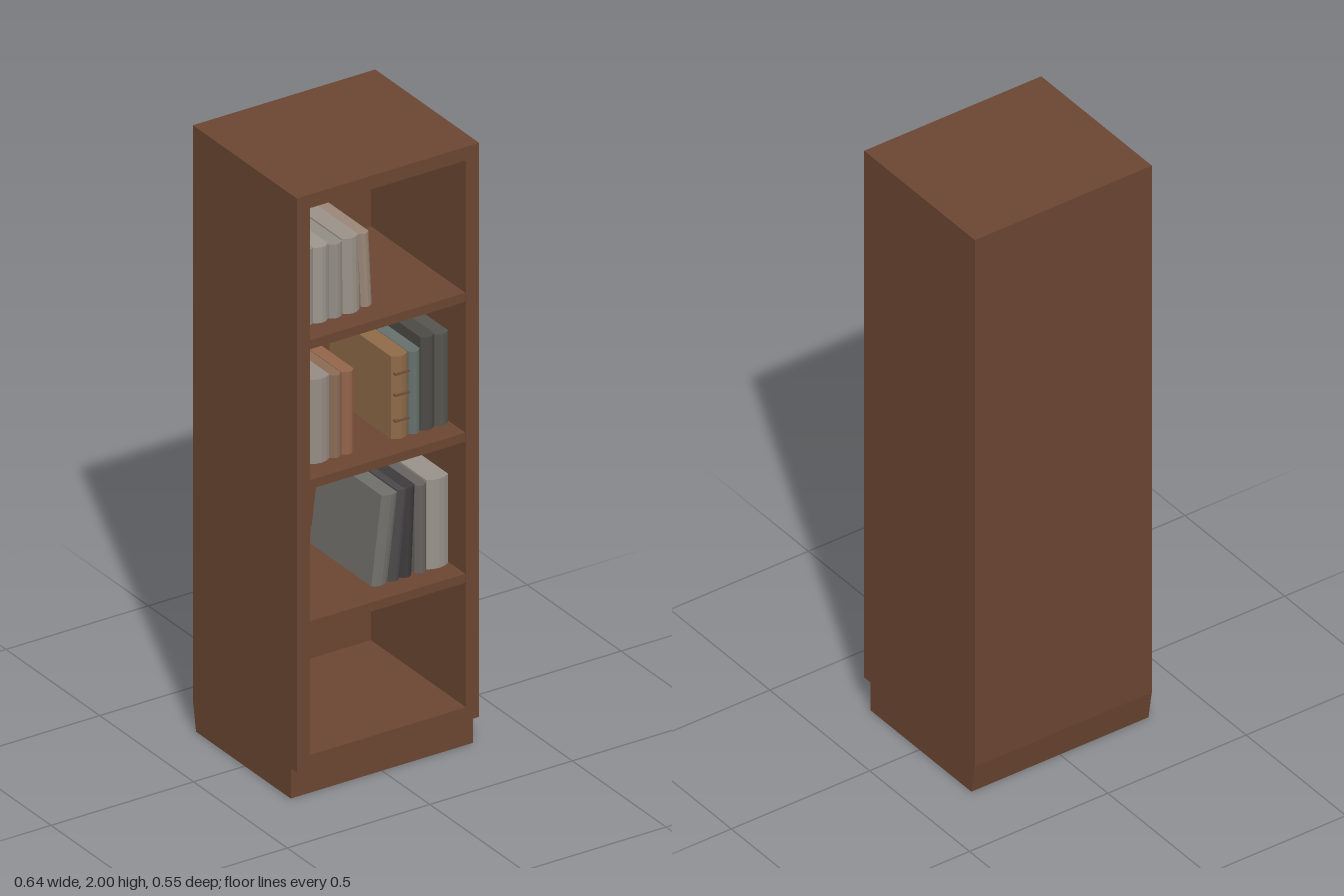
import * as THREE from 'three';

const wood = new THREE.MeshStandardMaterial({ color: 0x6b4632 });
const materials = {};
const cover = (color) => (materials[color] ??= new THREE.MeshStandardMaterial({ color }));

export function createModel() {
  const root = new THREE.Group();

  // board given by its minimum and maximum corners
  function board(name, [x0, y0, z0], [x1, y1, z1]) {
    const geo = new THREE.BoxGeometry(x1 - x0, y1 - y0, z1 - z0);
    geo.translate((x0 + x1) / 2, (y0 + y1) / 2, (z0 + z1) / 2);
    const mesh = new THREE.Mesh(geo, wood);
    mesh.name = name;
    root.add(mesh);
  }

  // carcass
  const W = 0.32, D = 0.277, inner = 0.274, back = -0.23;
  board('leftSide', [inner, 0.1, -D], [W, 2, D]);
  board('rightSide', [-W, 0.1, -D], [-inner, 2, D]);
  board('backPanel', [-inner, 0.1, -D], [inner, 2, back]);
  board('topBoard', [-inner, 1.955, back], [inner, 2, D]);
  board('bottomBoard', [-inner, 0.1, back], [inner, 0.145, D]);
  for (const [y0, y1] of [[0.555, 0.585], [1.022, 1.052], [1.485, 1.515]]) {
    board('shelf', [-inner, y0, back], [inner, y1, D - 0.004]);
  }

  // plinth: recessed at the front, sloping in at the back
  const profile = new THREE.Shape([[-0.26, 0], [0.245, 0], [0.245, 0.1], [-D, 0.1]]
    .map(([z, y]) => new THREE.Vector2(z, y)));
  const plinthGeo = new THREE.ExtrudeGeometry(profile, { depth: 2 * W, bevelEnabled: false });
  plinthGeo.rotateY(-Math.PI / 2).translate(W, 0, 0);
  const plinth = new THREE.Mesh(plinthGeo, wood);
  plinth.name = 'plinth';
  root.add(plinth);

  // book with a gently rounded spine; lean shifts its top sideways
  function book(x0, x1, y0, y1, color, lean = 0, front = 0.2) {
    const w = x1 - x0 - 0.002, depth = 0.34;
    const plan = new THREE.Shape();
    plan.moveTo(0, 0.012);
    plan.quadraticCurveTo(w / 2, -0.012, w, 0.012);
    plan.lineTo(w, depth);
    plan.lineTo(0, depth);
    const geo = new THREE.ExtrudeGeometry(plan, { depth: y1 - y0, bevelEnabled: false, curveSegments: 4 });
    geo.rotateX(-Math.PI / 2);
    const p = geo.attributes.position;
    for (let i = 0; i < p.count; i++) p.setX(i, p.getX(i) + lean * p.getY(i) / (y1 - y0));
    geo.translate(x0, y0, front);
    geo.computeVertexNormals();
    const mesh = new THREE.Mesh(geo, cover(color));
    mesh.name = 'book';
    return mesh;
  }

  // rows of books: [left edge, right edge, top, colour, lean, spine z]
  const rows = {
    topShelfBooks: [1.515, [
      [-0.274, -0.205, 1.765, 0x96918a],
      [-0.205, -0.15, 1.765, 0x9c968c],
      [-0.15, -0.1, 1.76, 0x928c84],
      [-0.1, -0.04, 1.765, 0x9a9288, -0.004],
      [-0.03, 0.01, 1.76, 0x9a8678, -0.012, 0.19],
    ]],
    middleShelfBooksRight: [1.052, [
      [-0.274, -0.215, 1.34, 0x4a4644],
      [-0.215, -0.145, 1.33, 0x958c84],
      [-0.145, -0.105, 1.325, 0x8a6a54],
      [-0.105, -0.06, 1.325, 0x94644a],
    ]],
    middleShelfBooksLeft: [1.052, [
      [0.07, 0.13, 1.325, 0x8e6a48],
      [0.13, 0.172, 1.325, 0x66706c],
      [0.172, 0.222, 1.36, 0x4c4a46],
      [0.222, 0.272, 1.355, 0x56544e],
    ]],
    lowerShelfBooks: [0.585, [
      [0.0, 0.058, 0.875, 0x706e6a, 0.036],
      [0.058, 0.1, 0.88, 0x4a4848, 0.03],
      [0.1, 0.142, 0.88, 0x3c3a3a, 0.012],
      [0.152, 0.194, 0.875, 0x66625e],
      [0.194, 0.272, 0.88, 0x98928a],
    ]],
  };
  for (const [name, [y0, books]] of Object.entries(rows)) {
    const row = new THREE.Group();
    row.name = name;
    for (const [x0, x1, y1, color, lean, front] of books) row.add(book(x0, x1, y0, y1, color, lean, front));
    root.add(row);
  }

  // raised bands on the tan book's spine
  for (const y of [1.115, 1.2, 1.27]) {
    const band = new THREE.Mesh(new THREE.BoxGeometry(0.05, 0.006, 0.02), cover(0x6e5038));
    band.name = 'spineBand';
    band.position.set(0.099, y, 0.195);
    root.add(band);
  }
  return root;
}
